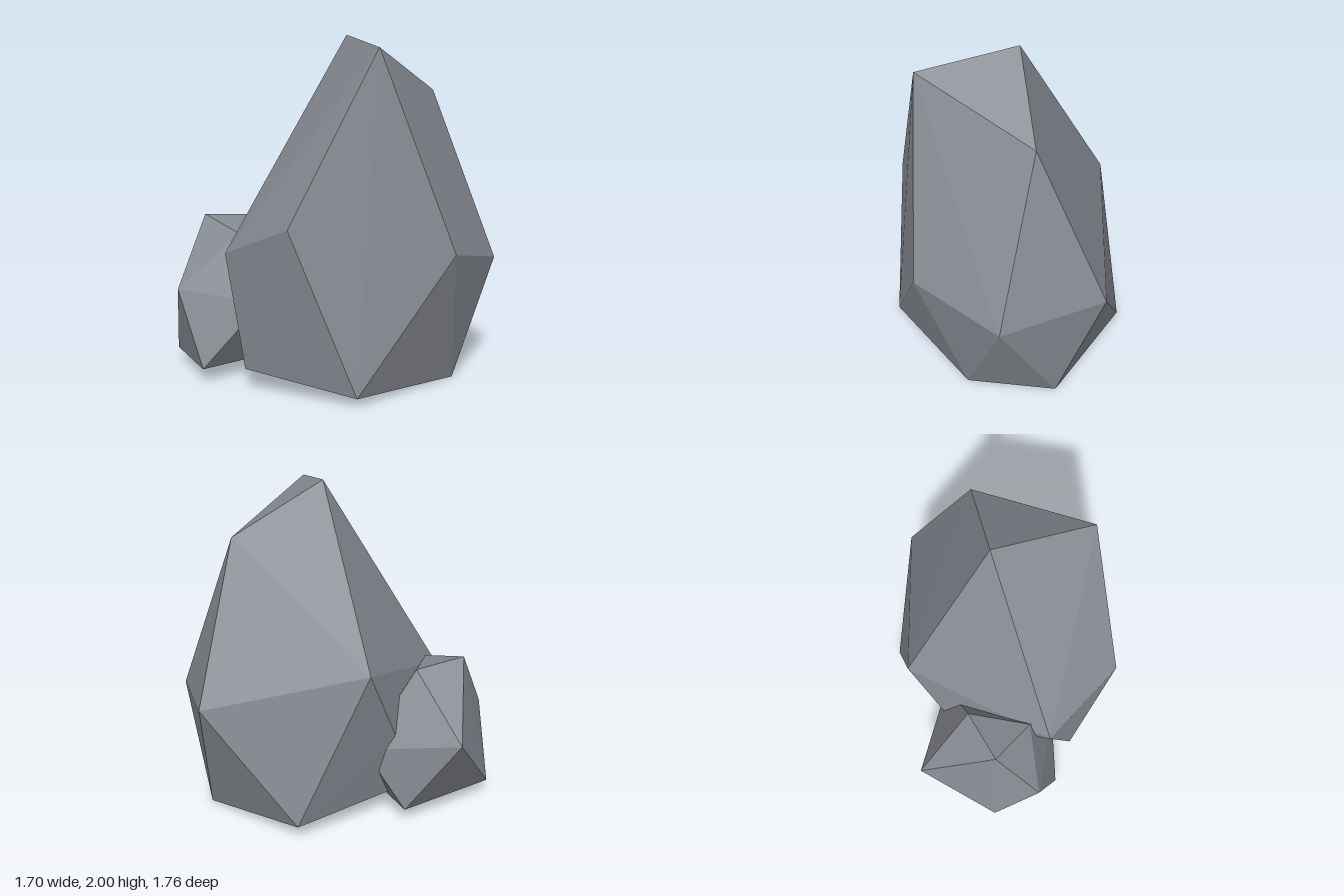
import * as THREE from 'three';
import { ConvexGeometry } from 'three/addons/geometries/ConvexGeometry.js';

// Corner points of each boulder; the faceted surface is their convex hull
const MAIN = [
  [0.02, 2.0, 0.04], [-0.29, 1.925, 0.54], [0.44, 1.675, 0.37],      // crown
  [-0.76, 0.97, 0.3], [-0.03, 0.8, 0.88], [0.54, 0.68, 0.77],        // waist
  [0.845, 0.75, 0.215], [0.19, 0.99, -0.52], [-0.71, 0.76, -0.25],
  [-0.05, 0.55, -0.5],
  [-0.55, 0.055, 0.61], [0.2, 0.003, 0.71], [0.645, 0.01, 0.4],      // foot
  [0.56, 0.087, -0.305], [-0.1, 0.13, -0.44], [-0.76, 0.13, -0.04],
];

const SMALL = [
  [-0.56, 0.93, -0.59], [-0.25, 0.9, -0.48], [-0.57, 0.85, -0.28],   // crown
  [-0.2, 0.55, -0.885], [-0.85, 0.53, -0.51],                        // waist
  [0.06, 0.43, -0.35], [-0.6, 0.47, -0.07],
  [-0.68, 0.09, -0.73], [-0.85, 0.09, -0.3],                         // foot
  [-0.03, 0.09, -0.61], [-0.18, 0.09, -0.18],
];

export function createModel() {
  const stone = new THREE.MeshStandardMaterial({ color: 0x868a92, flatShading: true });
  stone.name = 'grey stone';

  const boulder = (name, corners) => {
    const points = corners.map((c) => new THREE.Vector3(...c));
    const mesh = new THREE.Mesh(new ConvexGeometry(points), stone);
    mesh.name = name;
    return mesh;
  };

  const group = new THREE.Group();
  group.name = 'rocks';
  group.add(boulder('mainBoulder', MAIN), boulder('smallBoulder', SMALL));
  return group;
}
